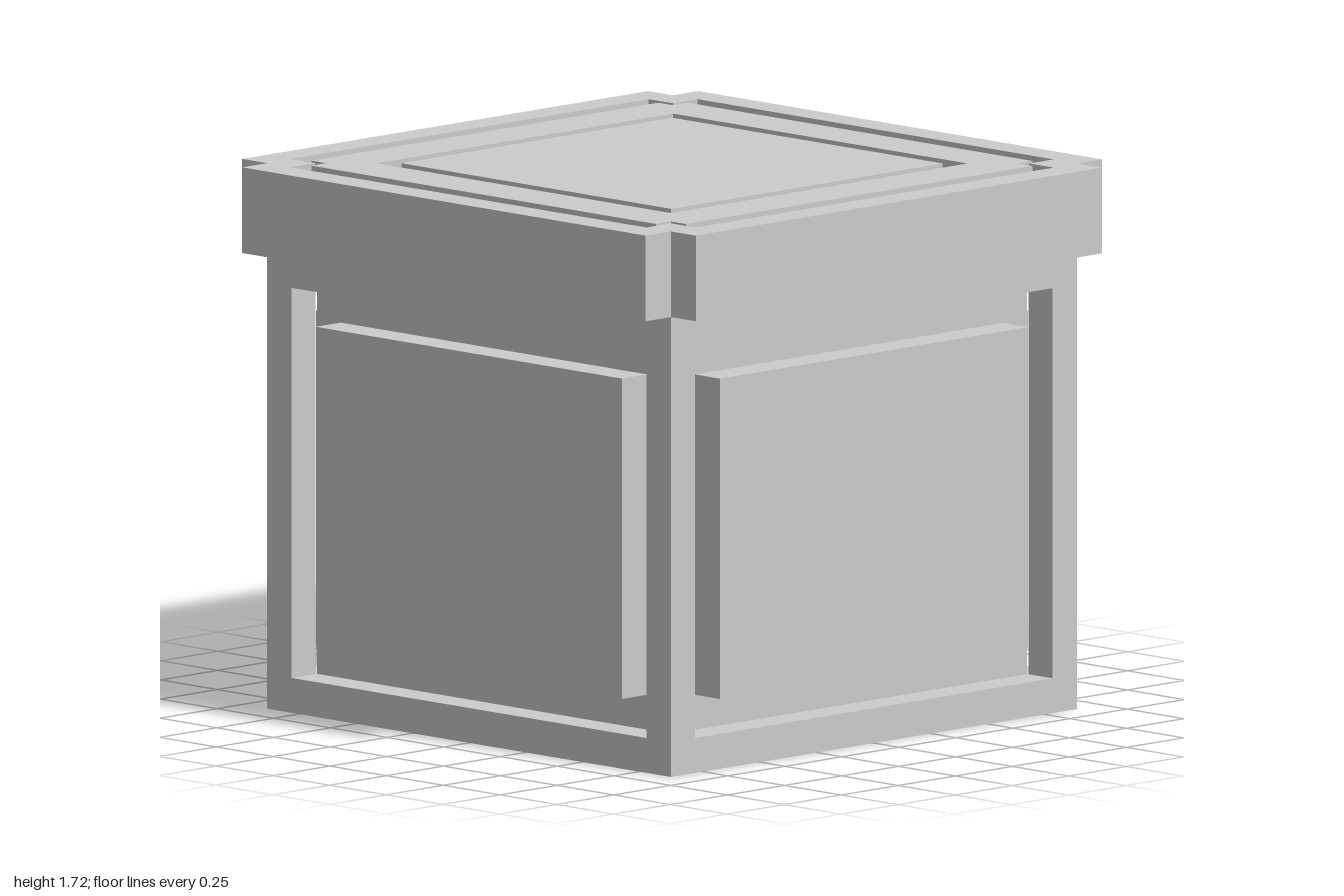
import * as THREE from 'three';

const material = new THREE.MeshStandardMaterial({ color: 0xcccccc, flatShading: true });

// Corner points of a square with its corners notched: arms reach a, notch corner at b
const notched = (a, b) => [
  [a, -b], [a, b], [b, b], [b, a], [-b, a], [-b, b],
  [-a, b], [-a, -b], [-b, -b], [-b, -a], [b, -a], [b, -b],
].map(([x, y]) => new THREE.Vector2(x, y));

const square = (h) => [[h, -h], [h, h], [-h, h], [-h, -h]].map(([x, y]) => new THREE.Vector2(x, y));

export function createModel() {
  const model = new THREE.Group();
  model.name = 'crate';

  const add = (name, geometry, parent = model) => {
    const mesh = new THREE.Mesh(geometry, material);
    mesh.name = name;
    parent.add(mesh);
    return mesh;
  };

  const box = (name, w, y0, y1, d, x = 0, z = 0, parent = model) => {
    const mesh = add(name, new THREE.BoxGeometry(w, y1 - y0, d), parent);
    mesh.position.set(x, (y0 + y1) / 2, z);
    return mesh;
  };

  // Horizontal slab from an outline, with an optional hole
  const slab = (name, outline, hole, y0, y1, parent) => {
    const shape = new THREE.Shape(outline);
    if (hole) shape.holes.push(new THREE.Path(hole));
    const geometry = new THREE.ExtrudeGeometry(shape, { depth: y1 - y0, bevelEnabled: false });
    geometry.rotateX(-Math.PI / 2).translate(0, y0, 0);
    return add(name, geometry, parent);
  };

  // Body: recessed core between a bottom and a top frame
  const body = new THREE.Group();
  body.name = 'body';
  model.add(body);
  box('bottomFrame', 1.78, 0, 0.11, 1.78, 0, 0, body);
  box('core', 1.56, 0.11, 1.34, 1.56, 0, 0, body);
  box('topFrame', 1.78, 1.34, 1.45, 1.78, 0, 0, body);

  // Corner posts
  for (const x of [-1, 1]) for (const z of [-1, 1]) {
    box('cornerPost', 0.107, 0.11, 1.34, 0.107, x * 0.8365, z * 0.8365, body);
  }

  // Raised panels, one per side, flush with the frame
  for (let i = 0; i < 4; i++) {
    const side = new THREE.Group();
    side.name = 'sidePanel';
    side.rotation.y = i * Math.PI / 2;
    body.add(side);
    box('panel', 1.35, 0.22, 1.23, 0.11, 0, 0.835, side);
  }

  // Lid: rim with notched corners around a grooved top
  const lid = new THREE.Group();
  lid.name = 'lid';
  model.add(lid);
  slab('lidRim', notched(1, 0.89), notched(0.893, 0.785), 1.45, 1.72, lid);
  slab('lidFloor', notched(0.893, 0.785), null, 1.45, 1.61, lid);
  slab('lidPlate', notched(0.825, 0.76), square(0.65), 1.61, 1.72, lid);
  box('lidCenterPanel', 1.19, 1.61, 1.72, 1.19, 0, 0, lid);

  return model;
}
